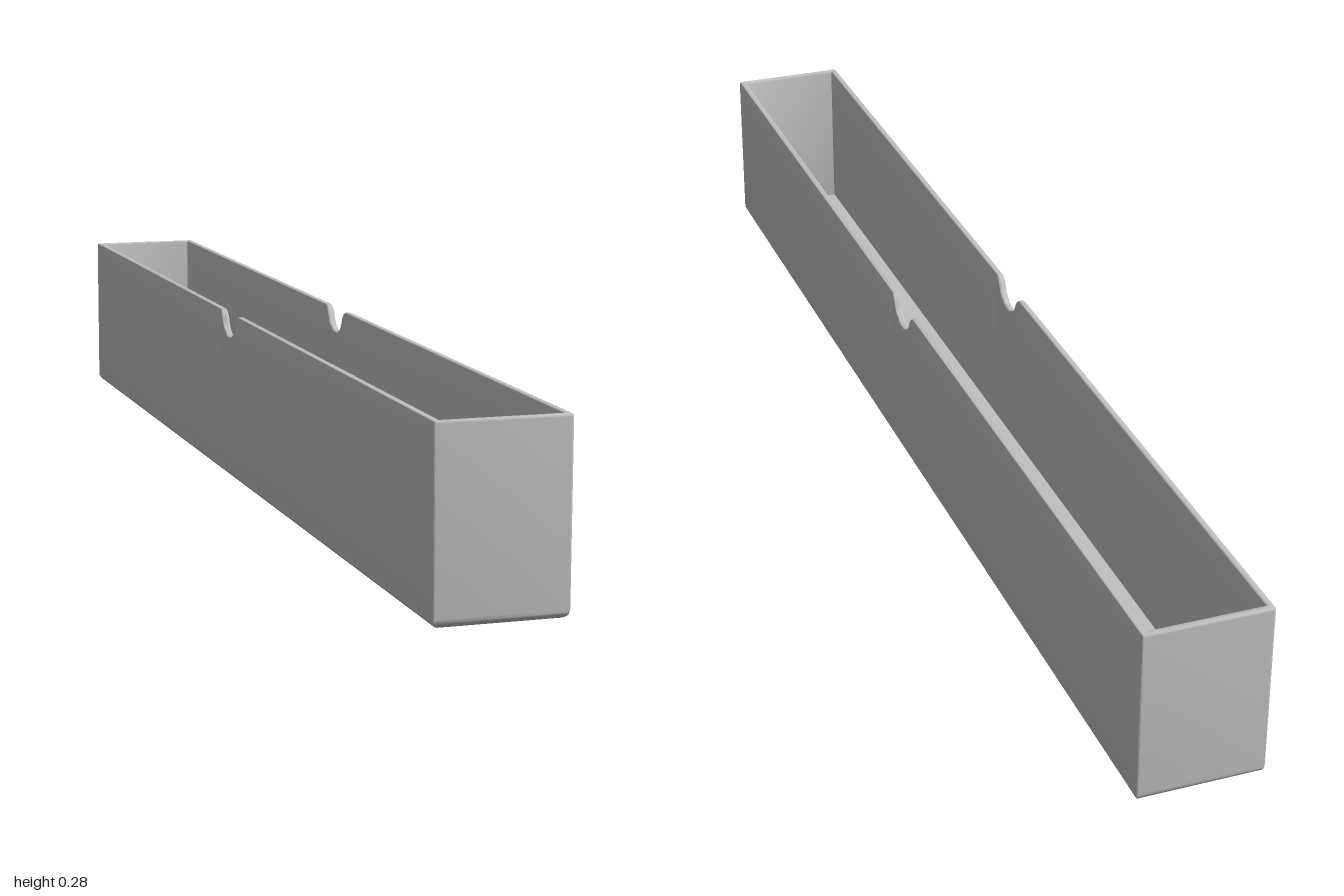
import * as THREE from 'three';
import { toCreasedNormals } from 'three/addons/utils/BufferGeometryUtils.js';

const HALF_W = 0.099, HALF_L = 1, HEIGHT = 0.281;
const WALL = 0.012, FLOOR = 0.012;
const RIM_R = 0.004, BASE_R = 0.014, CORNER_R = 0.004;
const NOTCH_R = 0.04, NOTCH_FILLET = 0.02;
const NOTCH_HALF = Math.sqrt((NOTCH_R + NOTCH_FILLET) ** 2 - NOTCH_FILLET ** 2);

// Rim height along the box: round thumb notch blended into the edge by fillets
function rimY(z) {
  const d = Math.abs(z);
  if (d >= NOTCH_HALF) return HEIGHT;
  const tangent = NOTCH_HALF * NOTCH_R / (NOTCH_R + NOTCH_FILLET);
  if (d < tangent) return HEIGHT - Math.sqrt(NOTCH_R ** 2 - d * d);
  return HEIGHT - NOTCH_FILLET + Math.sqrt(NOTCH_FILLET ** 2 - (NOTCH_HALF - d) ** 2);
}

// Points along each long side, dense across the notch
const sideZ = [-0.08];
for (let i = -20; i <= 20; i++) sideZ.push(NOTCH_HALF * Math.sin(i / 20 * Math.PI / 2));
sideZ.push(0.08);

// Rounded rectangle outline, inset from the outer walls
function outline(inset) {
  const w = HALF_W - inset, l = HALF_L - inset, r = Math.max(CORNER_R - inset, 0.001);
  const pts = [];
  const corner = (sx, sz, start) => {
    for (let i = 0; i <= 4; i++) {
      const a = start + i / 4 * Math.PI / 2;
      pts.push([sx * (w - r) + r * Math.cos(a), sz * (l - r) + r * Math.sin(a)]);
    }
  };
  const s = r + 0.003; // flat margin beside each corner
  pts.push([w, -l + s]);
  sideZ.forEach(z => pts.push([w, z]));
  pts.push([w, l - s]);
  corner(1, 1, 0);
  pts.push([w - s, l], [-w + s, l]);
  corner(-1, 1, Math.PI / 2);
  pts.push([-w, l - s]);
  [...sideZ].reverse().forEach(z => pts.push([-w, z]));
  pts.push([-w, -l + s]);
  corner(-1, -1, Math.PI);
  pts.push([-w + s, -l], [w - s, -l]);
  corner(1, -1, Math.PI * 1.5);
  return pts;
}

// Cross-section of the shell: underside, outer wall, rim, inner wall, floor
function shellSection() {
  const rows = [];
  const fixed = (inset, y) => rows.push([inset, () => y]);
  const rim = (inset, drop) => rows.push([inset, z => rimY(z) - drop]);
  fixed(BASE_R + 0.004, 0);
  for (let i = 0; i <= 6; i++) {
    const a = i / 6 * Math.PI / 2;
    fixed(BASE_R * (1 - Math.sin(a)), BASE_R * (1 - Math.cos(a)));
  }
  fixed(0, BASE_R + 0.004);
  rim(0, RIM_R + 0.003);
  for (let i = 0; i <= 4; i++) {
    const a = i / 4 * Math.PI / 2;
    rim(RIM_R * (1 - Math.cos(a)), RIM_R * (1 - Math.sin(a)));
  }
  for (let i = 0; i <= 4; i++) {
    const a = i / 4 * Math.PI / 2;
    rim(WALL - RIM_R * (1 - Math.sin(a)), RIM_R * (1 - Math.cos(a)));
  }
  rim(WALL, RIM_R + 0.003);
  fixed(WALL, FLOOR);
  return rows;
}

function shellGeometry() {
  const rows = shellSection();
  const pos = [], idx = [];
  let n = 0;
  for (const [inset, y] of rows) {
    const ring = outline(inset);
    n = ring.length;
    ring.forEach(([x, z]) => pos.push(x, y(z), z));
  }
  const under = rows.length * n, floor = under + 1, last = (rows.length - 1) * n;
  pos.push(0, 0, 0, 0, FLOOR, 0);
  for (let i = 0; i < n; i++) {
    const j = (i + 1) % n;
    for (let k = 0; k < rows.length - 1; k++) {
      const a = k * n + i, b = k * n + j;
      idx.push(a, a + n, b, b, a + n, b + n);
    }
    idx.push(under, i, j);
    idx.push(floor, last + j, last + i);
  }
  const geo = new THREE.BufferGeometry();
  geo.setAttribute('position', new THREE.Float32BufferAttribute(pos, 3));
  geo.setIndex(idx);
  return toCreasedNormals(geo, 0.7);
}

export function createModel() {
  const group = new THREE.Group();
  group.name = 'openTray';
  const grey = new THREE.MeshStandardMaterial({ color: 0xbfbfbf });
  grey.name = 'light grey';
  const shell = new THREE.Mesh(shellGeometry(), grey);
  shell.name = 'notchedTrayShell';
  group.add(shell);
  return group;
}
